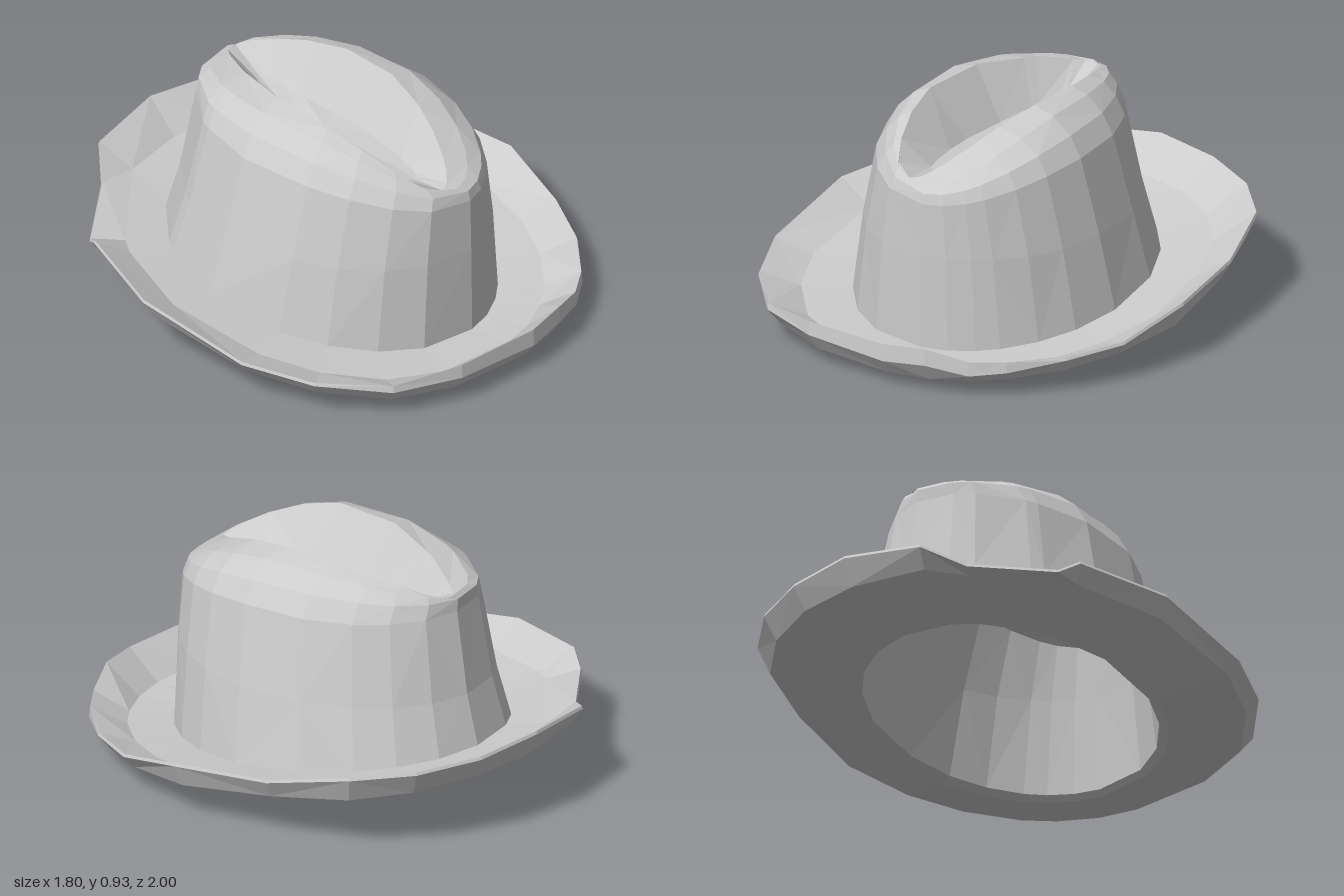
import * as THREE from 'three';

// Brim outline, anticlockwise from the front: x, z and height of the rim
const RIM = [
  [0, 1, 0.19], [0.18, 0.99, 0.2], [0.35, 0.94, 0.16], [0.48, 0.87, 0.16], [0.66, 0.71, 0.16],
  [0.8, 0.5, 0.18], [0.9, 0.2, 0.26], [0.88, -0.22, 0.29], [0.81, -0.56, 0.36], [0.65, -0.77, 0.375],
  [0.42, -0.92, 0.39], [0.14, -1, 0.41], [-0.2, -0.99, 0.38], [-0.34, -0.87, 0.31], [-0.65, -0.69, 0.28],
  [-0.71, -0.62, 0.33], [-0.88, -0.25, 0.29], [-0.9, 0.25, 0.21], [-0.81, 0.54, 0.18],
  [-0.63, 0.79, 0.17], [-0.37, 0.93, 0.19],
];
const ANGLES = RIM.map(([x, z]) => Math.atan2(x / 0.9, z));

// The hat sits tilted: its underside rises towards the back
const tilt = (z) => 0.095 - 0.125 * z;

// Oval ring; height comes from a rule of (cosine towards the front, z).
// lean slants it sideways along z, point narrows its ends to a spindle
function oval(rx, rz, cz, height, lean = 0, point = 0) {
  return ANGLES.map((a) => {
    const c = Math.cos(a), s = Math.sin(a);
    const z = cz + rz * c;
    const narrow = 1 - point * c * c * (c < 0 ? 1 : 0.4);
    return [rx * s * narrow + lean * z, height(c, z), z];
  });
}

// Height with separate drops at the front and the back
const arch = (side, front, back) => (c) => side + ((c > 0 ? front : back) - side) * c * c;

// Faceted skin through a series of rings, with alternating diagonals
function skin(name, rings, material) {
  const pos = [];
  const n = ANGLES.length;
  for (let i = 0; i < rings.length - 1; i++) {
    for (let j = 0; j < n; j++) {
      const k = (j + 1) % n;
      const a = rings[i][j], b = rings[i + 1][j], c = rings[i + 1][k], d = rings[i][k];
      const tris = (i + j) % 2 ? [a, b, c, a, c, d] : [a, b, d, b, c, d];
      tris.forEach((p) => pos.push(...p));
    }
  }
  const geometry = new THREE.BufferGeometry();
  geometry.setAttribute('position', new THREE.Float32BufferAttribute(pos, 3));
  geometry.computeVertexNormals();
  const mesh = new THREE.Mesh(geometry, material);
  mesh.name = name;
  return mesh;
}

export function createModel() {
  const hat = new THREE.Group();
  hat.name = 'hat';
  const felt = new THREE.MeshStandardMaterial({
    color: 0xcccccc, flatShading: true, side: THREE.DoubleSide,
  });

  const base = oval(0.57, 0.695, 0, (c, z) => tilt(z) + 0.065);
  const opening = oval(0.55, 0.66, 0.01, (c, z) => tilt(z) + 0.02);
  const dentLip = oval(0.23, 0.59, 0.03, arch(0.945, 0.74, 0.85), -0.15, 0.4);

  // Lengthwise dent in the top of the crown
  hat.add(skin('crownDent', [
    oval(0, 0.3, 0.03, () => 0.72, -0.15),
    oval(0.09, 0.44, 0.03, arch(0.73, 0.72, 0.78), -0.15, 0.4),
    dentLip,
  ], felt));

  // Crown, from the lip of the dent down to the brim
  hat.add(skin('crown', [
    dentLip,
    oval(0.31, 0.61, 0.04, arch(0.92, 0.73, 0.855), -0.05),
    oval(0.385, 0.63, 0.045, arch(0.855, 0.71, 0.84)),
    oval(0.435, 0.635, 0.05, arch(0.77, 0.67, 0.79)),
    oval(0.51, 0.665, 0.025, () => 0.45),
    base,
  ], felt));

  // Lining: the inner face of the crown and dent, down to the head opening
  hat.add(skin('lining', [
    oval(0, 0.3, 0.03, () => 0.67, -0.15),
    oval(0.13, 0.48, 0.03, arch(0.69, 0.67, 0.74), -0.15),
    oval(0.26, 0.55, 0.04, arch(0.88, 0.69, 0.81), -0.08),
    oval(0.39, 0.595, 0.05, arch(0.76, 0.64, 0.76)),
    oval(0.475, 0.63, 0.025, () => 0.43),
    opening,
  ], felt));

  // Brim: dished top, curled rim with a deeper lip in front, and underside
  const midway = RIM.map(([x, z], j) => {
    const px = base[j][0] * 0.45 + x * 0.55, pz = base[j][2] * 0.45 + z * 0.55;
    return [px, tilt(pz) + 0.085, pz];
  });
  hat.add(skin('brim', [
    base,
    midway,
    RIM.map(([x, z, y]) => [x * 0.995, y, z * 0.995]),
    RIM.map(([x, z, y]) => [x, y - Math.max(0.012, 0.2 * (z - 0.65)), z]),
    RIM.map(([x, z]) => [x * 0.95, tilt(z * 0.95) + 0.08, z * 0.95]),
    oval(0.6, 0.69, 0, (c, z) => tilt(z)),
    opening,
  ], felt));

  return hat;
}
